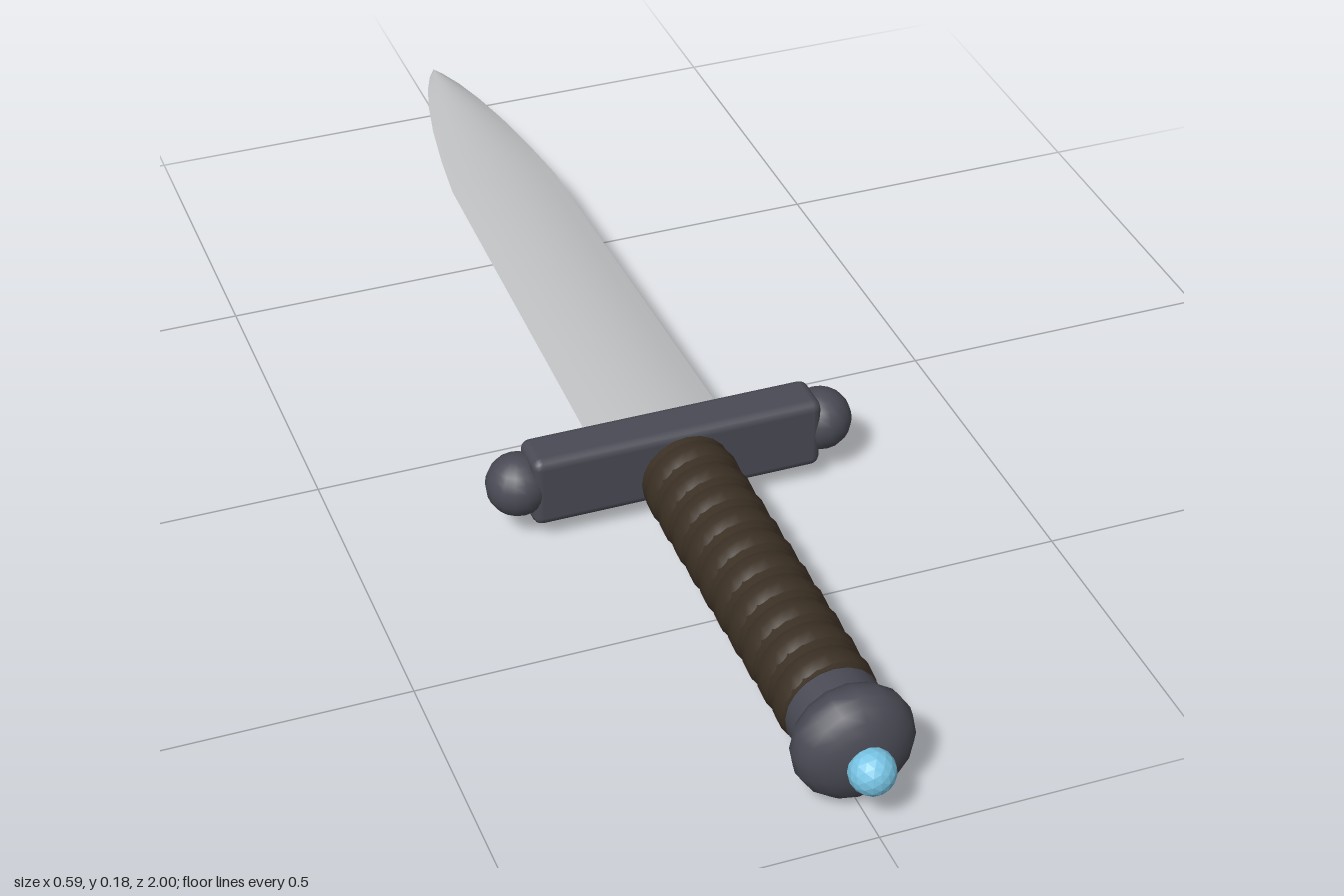
import * as THREE from 'three';
import { RoundedBoxGeometry } from 'three/addons/geometries/RoundedBoxGeometry.js';

const AXIS = 0.093; // height of the long axis

function material(name, color, extra = {}) {
  return new THREE.MeshStandardMaterial({ name, color, ...extra });
}

// One face of the lens-shaped blade: side = 1 top, -1 bottom
function bladeFace(side) {
  // z, half width, half thickness
  const sections = [
    [0.2, 0.109, 0.019], [-0.2, 0.1, 0.016], [-0.6, 0.091, 0.014], [-0.7, 0.079, 0.0135],
    [-0.8, 0.063, 0.013], [-0.88, 0.046, 0.012], [-0.94, 0.029, 0.01], [-0.98, 0.013, 0.007], [-1, 0.001, 0.002],
  ];
  const cols = 8, pos = [], index = [];
  sections.forEach(([z, w, t], r) => {
    for (let c = 0; c <= cols; c++) {
      const u = (c / cols) * 2 - 1;
      pos.push(u * w, side * t * (1 - u * u), z);
      if (r === 0 || c === cols) continue;
      const b = r * (cols + 1) + c, a = b - cols - 1;
      if (side > 0) index.push(a, a + 1, b, a + 1, b + 1, b);
      else index.push(a, b, a + 1, a + 1, b, b + 1);
    }
  });
  const geo = new THREE.BufferGeometry();
  geo.setAttribute('position', new THREE.Float32BufferAttribute(pos, 3));
  geo.setIndex(index);
  geo.computeVertexNormals();
  return geo;
}

export function createModel() {
  const model = new THREE.Group();
  model.name = 'dagger';
  const steel = material('blade steel', 0xbfc0c2);
  const iron = material('dark iron', 0x4a4a55);
  const leather = material('brown leather', 0x3b3024);
  const crystal = material('blue crystal', 0x78c4e4, { flatShading: true });

  const add = (name, geo, mat, x, z) => {
    const mesh = new THREE.Mesh(geo, mat);
    mesh.name = name;
    mesh.position.set(x, AXIS, z);
    model.add(mesh);
    return mesh;
  };
  const rod = (r, length, sides) => new THREE.CylinderGeometry(r, r, length, sides).rotateX(Math.PI / 2);

  // Blade
  add('bladeTop', bladeFace(1), steel, 0, 0).position.y += 0.003;
  add('bladeBottom', bladeFace(-1), steel, 0, 0).position.y += 0.003;

  // Crossguard with ball ends
  add('guard', new RoundedBoxGeometry(0.462, 0.118, 0.076, 2, 0.015), iron, 0, 0.207);
  for (const s of [1, -1]) {
    add(s > 0 ? 'guardBallLeft' : 'guardBallRight', new THREE.SphereGeometry(0.049, 16, 12), iron, s * 0.244, 0.203);
  }

  // Grip core and slightly slanted leather wraps
  add('grip', rod(0.071, 0.56, 20), leather, 0, 0.55);
  const wraps = 10, pitch = 0.0555;
  for (let i = 0; i < wraps; i++) {
    const wrap = new THREE.TorusGeometry(0.066, 0.0085, 8, 24).scale(1, 1, 3.1);
    add('gripWrap', wrap, leather, 0, 0.302 + i * pitch).rotation.y = 0.07;
  }

  // Collar, flattened pommel and gem
  add('collar', rod(0.07, 0.04, 20), iron, 0, 0.845);
  const pommel = new THREE.SphereGeometry(0.09, 16, 12).rotateX(Math.PI / 2).scale(1, 1, 0.64);
  add('pommel', pommel, iron, 0, 0.9);
  add('pommelGem', new THREE.IcosahedronGeometry(0.034, 2), crystal, 0, 0.966);

  return model;
}
